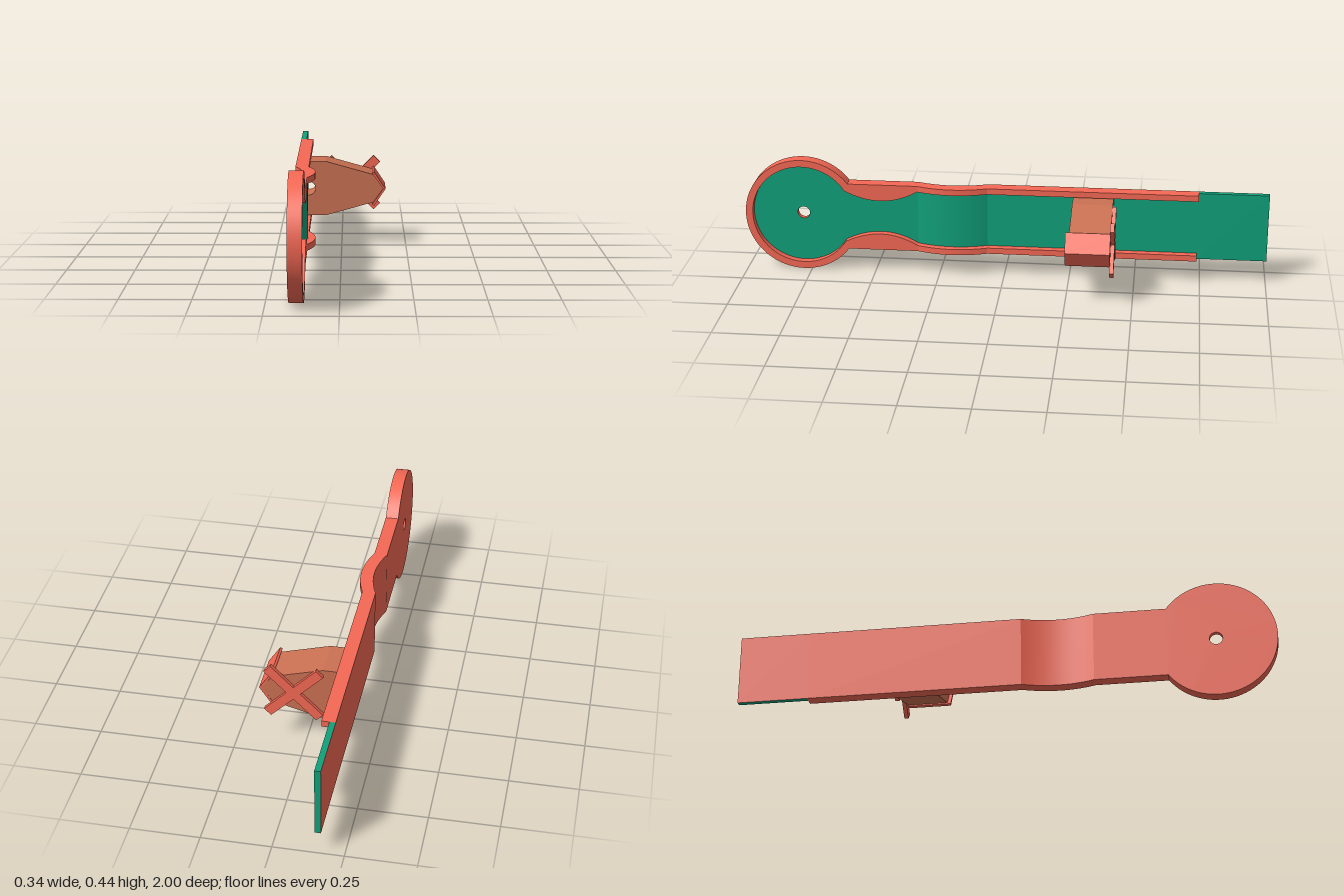
import * as THREE from 'three';
import { toCreasedNormals } from 'three/addons/utils/BufferGeometryUtils.js';

const RED = new THREE.MeshStandardMaterial({ color: 0xf46854 });
const GREEN = new THREE.MeshStandardMaterial({ color: 0x10a07a });
const BROWN = new THREE.MeshStandardMaterial({ color: 0xca7153 });

const MID = 0.222;                    // height of the arm's centre line
const X0 = -0.17, XF = -0.148, XT = -0.12;  // back, floor and rim top
const HW = 0.133, IW = 0.11;          // outer and inner half widths
const CU = -0.78, R = 0.222, RI = 0.195;    // disc centre (u = -z) and radii
const B0 = 0.066, B1 = 0.334;         // ends of the raised bump

function add(group, name, geo, mat) {
  const m = new THREE.Mesh(geo, mat);
  m.name = name;
  group.add(m);
  return m;
}

// Extrude a shape drawn in (-z, y - MID) along x
function plate(group, name, shape, x0, x1, mat) {
  const g = new THREE.ExtrudeGeometry(shape, { depth: x1 - x0, bevelEnabled: false, curveSegments: 40 });
  g.rotateY(Math.PI / 2).translate(x0, MID, 0);
  return add(group, name, toCreasedNormals(g, 0.5), mat);
}

// Straight bar along z; bars within the bump are bowed towards +x
function bar(group, name, [x0, x1], [y0, y1], [z0, z1], mat, bowed) {
  const g = new THREE.BoxGeometry(x1 - x0, y1 - y0, z1 - z0, 1, 1, bowed ? 24 : 1);
  g.translate((x0 + x1) / 2, MID + (y0 + y1) / 2, (z0 + z1) / 2);
  if (bowed) {
    const p = g.attributes.position;
    for (let i = 0; i < p.count; i++) {
      const t = (p.getZ(i) - (B0 + B1) / 2) / ((B1 - B0) / 2);
      p.setX(i, p.getX(i) + 0.027 * (1 - t * t));
    }
    g.computeVertexNormals();
  }
  return add(group, name, g, mat);
}

// Inner edge of the head: lower neck curve, disc, upper neck curve
function innerEdge(s) {
  const b = Math.asin(0.104 / RI), u = CU + RI * Math.cos(b);
  s.lineTo(-B1, -IW);
  s.quadraticCurveTo(-0.47, -0.029, u, -0.104);
  s.absarc(CU, 0, RI, -b, b, true);
  s.quadraticCurveTo(-0.47, 0.029, -B1, IW);
}

function outerEdge(s) {
  const a = Math.asin(HW / R);
  s.moveTo(-B1, HW);
  s.lineTo(CU + R * Math.cos(a), HW);
  s.absarc(CU, 0, R, a, 2 * Math.PI - a, false);
  s.lineTo(-B1, -HW);
}

function pivotHole(s) {
  s.holes.push(new THREE.Path().absarc(CU, 0, 0.024, 0, Math.PI * 2, true));
}

export function createModel() {
  const model = new THREE.Group();
  model.name = 'slottedArm';

  // Round head with neck
  const head = new THREE.Group();
  head.name = 'head';
  const back = new THREE.Shape();
  outerEdge(back);
  pivotHole(back);
  plate(head, 'headBack', back, X0, XF - 0.002, RED);
  const rim = new THREE.Shape();
  outerEdge(rim);
  innerEdge(rim);
  plate(head, 'headRim', rim, XF - 0.002, XT, RED);
  const floor = new THREE.Shape();
  floor.moveTo(-B1, IW);
  innerEdge(floor);
  pivotHole(floor);
  plate(head, 'headFloor', floor, XF - 0.002, XF, GREEN);
  model.add(head);

  // Channel: bowed bump, then straight run
  const channel = new THREE.Group();
  channel.name = 'channel';
  for (const [name, z, bowed] of [['bump', [B0, B1], true], ['straight', [-0.735, B0], false]]) {
    bar(channel, name + 'Back', [X0, XF - 0.002], [-HW, HW], z, RED, bowed);
    bar(channel, name + 'Floor', [XF - 0.002, XF], [-IW, IW], z, GREEN, bowed);
    bar(channel, name + 'UpperWall', [XF - 0.002, XT], [IW, HW], z, RED, bowed);
    bar(channel, name + 'LowerWall', [XF - 0.002, XT], [-HW, -IW], z, RED, bowed);
  }
  model.add(channel);

  // Bare tail with a thin red backing
  bar(model, 'tail', [X0 + 0.001, XF], [-HW, HW], [-1, -0.735], GREEN, false);
  bar(model, 'tailBacking', [X0, X0 + 0.001], [-HW, HW], [-1, -0.735], RED, false);

  // Tapered block with a round notch at its foot
  const holder = new THREE.Group();
  holder.name = 'holder';
  holder.position.y = MID;
  const block = new THREE.Shape();
  const n = Math.acos((XF + 0.128) / 0.026);
  block.moveTo(XF, -0.106);
  block.lineTo(-0.062, -0.106);
  block.lineTo(0.121, -0.055);
  block.lineTo(0.162, 0);
  block.lineTo(0.121, 0.055);
  block.lineTo(-0.062, 0.106);
  block.lineTo(XF, 0.106);
  block.absarc(-0.128, 0, 0.026, n, -n, true);
  const blockGeo = new THREE.ExtrudeGeometry(block, { depth: 0.153, bevelEnabled: false, curveSegments: 24 });
  blockGeo.translate(0, 0, -0.415);
  add(holder, 'block', toCreasedNormals(blockGeo, 0.25), BROWN);

  // Chevron cap over the block's tip
  const cap = new THREE.Shape([
    [0.118, -0.061], [0.126, -0.066], [0.17, 0], [0.126, 0.066], [0.118, 0.061], [0.161, 0],
  ].map(([x, y]) => new THREE.Vector2(x, y)));
  const capGeo = new THREE.ExtrudeGeometry(cap, { depth: 0.166, bevelEnabled: false });
  capGeo.translate(0, 0, -0.415);
  add(holder, 'tipCap', capGeo, RED);

  // Crossed bars behind the block
  for (const s of [1, -1]) {
    const b = add(holder, 'crossBar', new THREE.BoxGeometry(0.27, 0.036, 0.016), RED);
    b.position.set(0.042, 0, -0.421);
    b.rotation.z = s * Math.PI / 4;
  }
  model.add(holder);
  return model;
}
